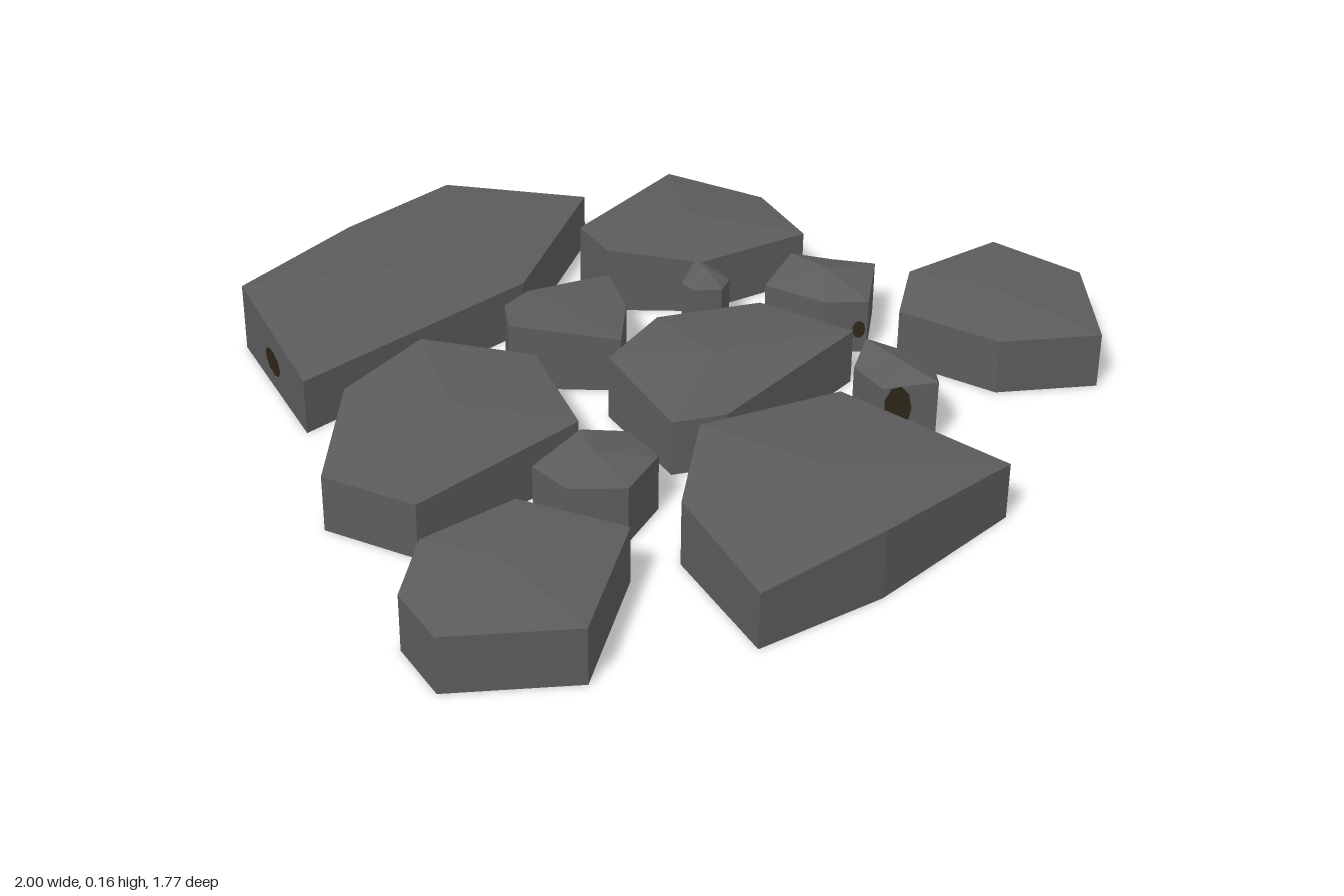
import * as THREE from 'three';

const rock = new THREE.MeshStandardMaterial({ color: 0x5c5c5e, flatShading: true });
rock.name = 'dark grey stone';
const dirt = new THREE.MeshStandardMaterial({ color: 0x2e2618, flatShading: true });
dirt.name = 'earth brown';

// A paving stone: rim corners [x, z, top height, bottom lift], clockwise from above,
// with a raised crown point [x, z, height].
function stone(name, crown, rim) {
  const pos = [];
  const add = (...points) => points.forEach((p) => pos.push(...p));
  const top = (p) => [p[0], p[2], p[1]];
  const foot = (p) => [p[0], p[3] ?? 0, p[1]];
  const eachEdge = (fn) => rim.forEach((p, i) => fn(p, rim[(i + 1) % rim.length]));

  // crown and side walls in stone
  eachEdge((p, q) => {
    add(top(crown), top(q), top(p));
    add(foot(q), foot(p), top(p), foot(q), top(p), top(q));
  });
  const stoneCount = pos.length / 3;

  // earthy underside
  eachEdge((p, q) => add(foot([crown[0], crown[1]]), foot(p), foot(q)));

  const geo = new THREE.BufferGeometry();
  geo.setAttribute('position', new THREE.Float32BufferAttribute(pos, 3));
  geo.addGroup(0, stoneCount, 0);
  geo.addGroup(stoneCount, pos.length / 3 - stoneCount, 1);
  geo.computeVertexNormals();
  const mesh = new THREE.Mesh(geo, [rock, dirt]);
  mesh.name = name;
  return mesh;
}

// A thin spot of earth on the wall between corners p and q
function dirtSpot(p, q, t, y, width, height) {
  const dx = q[0] - p[0], dz = q[1] - p[1], len = Math.hypot(dx, dz);
  const nx = dz / len, nz = -dx / len;
  const mesh = new THREE.Mesh(new THREE.CircleGeometry(0.5, 9), dirt);
  mesh.scale.set(width, height, 1);
  mesh.position.set(p[0] + dx * t + nx * 0.003, y, p[1] + dz * t + nz * 0.003);
  mesh.rotation.y = Math.atan2(nx, nz);
  mesh.name = 'dirtSpot';
  return mesh;
}

export function createModel() {
  const group = new THREE.Group();
  group.name = 'steppingStones';
  const H = 0.16, L = 0.13;

  // large slabs
  group.add(
    stone('backSlab', [0, -0.62, H],
      [[-0.32, -0.85, H], [0.06, -0.885, 0.15], [0.41, -0.89, L], [0.575, -0.58, L], [0.14, -0.4, L], [-0.5, -0.47, L]]),
    stone('frontSlab', [-0.1, 0.6, H],
      [[-0.14, 0.33, H], [0.2, 0.45, L], [0.18, 0.885, L], [-0.22, 0.85, H], [-0.51, 0.76, L], [-0.38, 0.47, 0.15]]),
    stone('centreSlab', [0.12, 0.16, H],
      [[-0.03, -0.005, 0.15], [0.165, -0.025, H], [0.41, 0.08, L], [0.435, 0.32, L], [-0.03, 0.32, L], [-0.13, 0.25, L]]),
  );

  // medium stones
  group.add(
    stone('backLeftStone', [-0.4, -0.13, H],
      [[-0.49, -0.355, 0.15], [-0.24, -0.365, H], [-0.095, -0.16, L], [-0.25, 0.095, L], [-0.7, 0.05, L], [-0.745, -0.17, L]]),
    stone('backRightStone', [0.62, -0.28, H],
      [[0.41, -0.455, 0.15], [0.81, -0.5, L], [0.85, -0.24, L], [0.755, -0.045, L], [0.48, -0.145, L], [0.345, -0.32, H]]),
    stone('leftStone', [-0.76, 0.33, H],
      [[-0.945, 0.235, L], [-0.805, 0.16, 0.15], [-0.59, 0.22, H], [-0.49, 0.43, L], [-0.8, 0.58, L], [-1, 0.38, L]]),
    stone('rightStone', [0.76, 0.48, H],
      [[0.575, 0.35, L], [0.72, 0.28, 0.15], [0.955, 0.36, H, 0.03], [1, 0.57, L], [0.77, 0.76, L], [0.6, 0.6, L]]),
  );

  // small filler stones
  group.add(
    stone('backFiller', [0.07, -0.26, H],
      [[-0.01, -0.325, H], [0.075, -0.33, H], [0.295, -0.275, L], [0.21, -0.15, L], [0.075, -0.055, L], [-0.075, -0.255, H]]),
    stone('pebble', [0.42, -0.08, H],
      [[0.37, -0.115, L], [0.44, -0.13, H], [0.475, -0.085, L], [0.455, -0.04, L], [0.405, -0.025, L], [0.36, -0.07, L]]),
    stone('rightFiller', [0.6, 0.13, H],
      [[0.485, 0.04, L], [0.605, 0.025, H], [0.69, 0.085, L], [0.735, 0.175, L], [0.57, 0.27, L], [0.505, 0.195, L]]),
    stone('leftFiller', [-0.36, 0.23, H],
      [[-0.445, 0.135, L], [-0.31, 0.15, H], [-0.215, 0.2, L], [-0.25, 0.31, L], [-0.385, 0.34, L], [-0.465, 0.245, L]]),
    stone('frontFiller', [0.35, 0.5, H],
      [[0.3, 0.415, L], [0.38, 0.39, H], [0.435, 0.475, L], [0.4, 0.56, L], [0.335, 0.61, 0.15], [0.265, 0.515, L]]),
  );

  // earth spots on three walls
  group.add(
    dirtSpot([-0.5, -0.47], [-0.32, -0.85], 0.5, 0.07, 0.1, 0.06),
    dirtSpot([0.335, 0.61], [0.265, 0.515], 0.72, 0.085, 0.06, 0.11),
    dirtSpot([0.57, 0.27], [0.505, 0.195], 0.2, 0.06, 0.03, 0.045),
  );
  return group;
}
